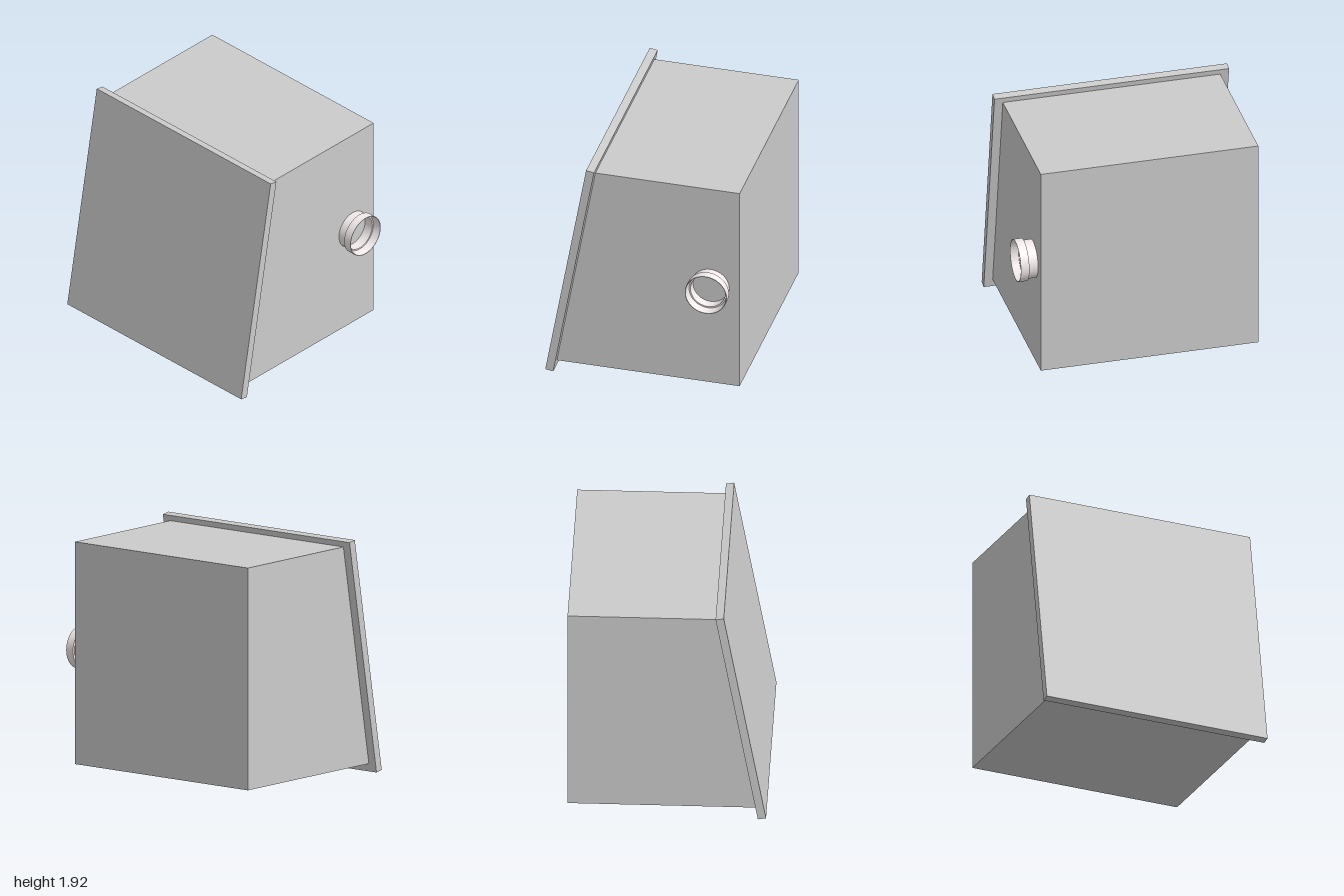
import * as THREE from 'three';
import { toCreasedNormals } from 'three/addons/utils/BufferGeometryUtils.js';

const TILT = THREE.MathUtils.degToRad(10);
const PANEL_FOOT_Z = 0.725; // rear lower edge of the panel, at y = 0

// Extrudes a [z, y] side profile leftwards from xMax by the given width.
function sideExtrusion(points, xMax, width) {
  const shape = new THREE.Shape(points.map(([z, y]) => new THREE.Vector2(z, y)));
  const geometry = new THREE.ExtrudeGeometry(shape, { depth: width, bevelEnabled: false });
  return geometry.rotateY(-Math.PI / 2).translate(xMax, 0, 0);
}

export function createModel() {
  const model = new THREE.Group();
  const grey = new THREE.MeshStandardMaterial({ color: 0xcccccc });
  const pale = new THREE.MeshStandardMaterial({ color: 0xf3ebeb });

  function add(name, geometry, material) {
    const mesh = new THREE.Mesh(geometry, material);
    mesh.name = name;
    model.add(mesh);
    return mesh;
  }

  // Box with a sloping front that meets the rear of the panel
  const slopeZ = (y) => PANEL_FOOT_Z - y * Math.tan(TILT);
  const bottom = 0.065, top = 1.86, back = -0.79;
  add('cabinetBody', sideExtrusion([
    [back, bottom], [slopeZ(bottom), bottom], [slopeZ(top), top], [back, top],
  ], 0.855, 1.785), grey);

  // Overhanging front panel, leaning back
  const height = 1.934, thickness = 0.066;
  const panel = new THREE.BoxGeometry(1.925, height, thickness);
  panel.translate(0, height / 2, thickness / 2).rotateX(-TILT);
  add('frontPanel', panel, grey).position.set(-0.0375, 0, PANEL_FOOT_Z);

  // Hollow port on the side: narrow neck, wider collar with a flared mouth
  const profile = [
    [0.155, 0.85], [0.155, 0.93], [0.172, 0.93], [0.172, 1.0],
    [0.167, 1.0], [0.155, 0.935], [0.143, 0.935], [0.143, 0.85],
  ].map(([r, x]) => new THREE.Vector2(r, x));
  const port = toCreasedNormals(new THREE.LatheGeometry(profile, 64), 0.6);
  port.rotateZ(-Math.PI / 2);
  add('sidePort', port, pale).position.set(0, 0.96, -0.55);

  return model;
}
